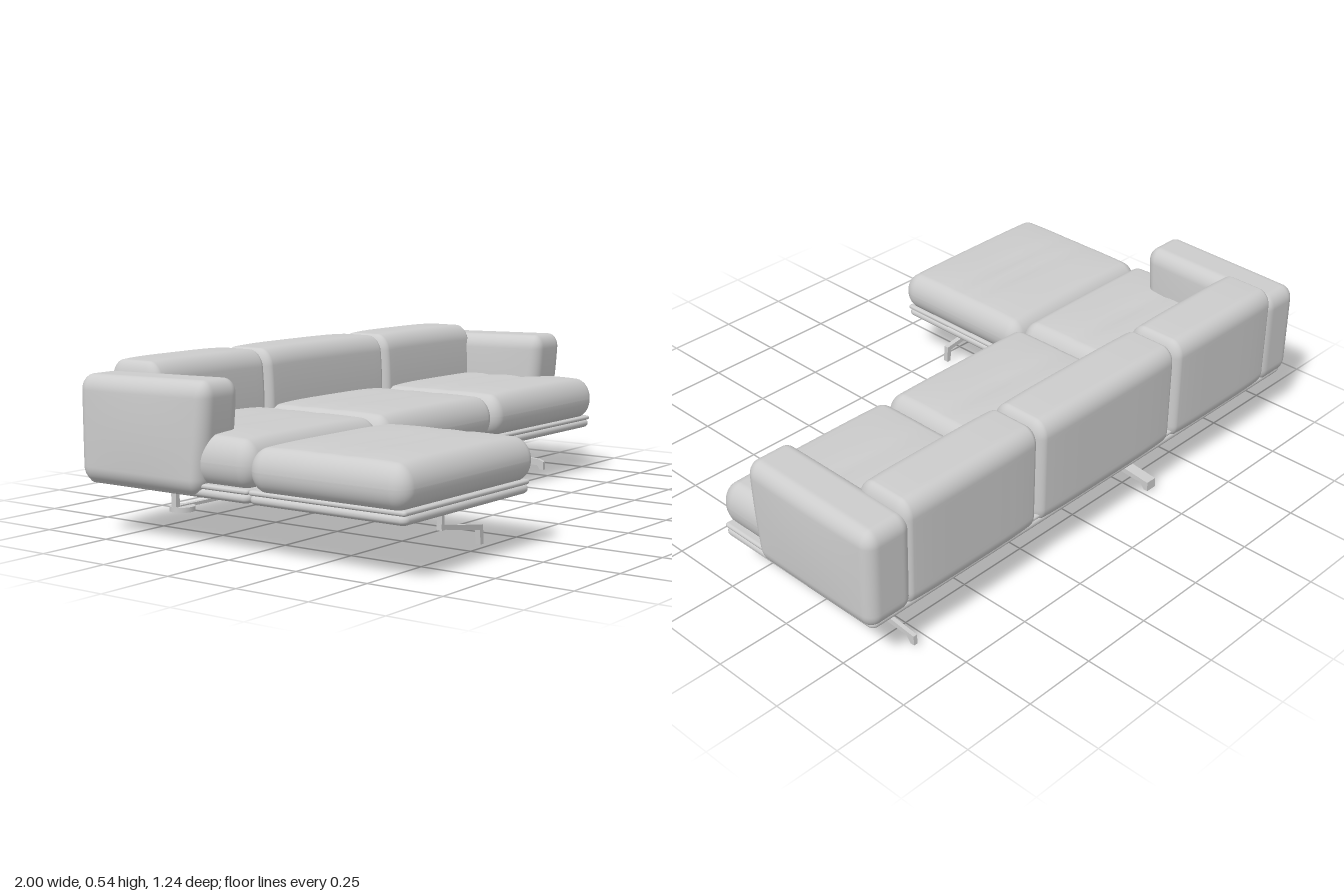
import * as THREE from 'three';
import { mergeVertices } from 'three/addons/utils/BufferGeometryUtils.js';

const upholstery = new THREE.MeshStandardMaterial({ color: 0xcccccc });
upholstery.name = 'light grey';

// Soft box filling [x0,x1] x [y0,y1] x [z0,z1], with elliptical edge radii and an optional shaping rule.
// The rule receives the point and its position (-1..1) along each axis.
function softBox(name, [x0, x1], [y0, y1], [z0, z1], radii, rule) {
  const half = [(x1 - x0) / 2, (y1 - y0) / 2, (z1 - z0) / 2];
  const mid = [(x0 + x1) / 2, (y0 + y1) / 2, (z0 + z1) / 2];
  const n = 28, edge = 6;
  let geo = new THREE.BoxGeometry(2, 2, 2, n, n, n);
  geo.deleteAttribute('uv');
  geo.deleteAttribute('normal');
  geo = mergeVertices(geo);
  const pos = geo.attributes.position;
  const p = new THREE.Vector3(), t = new THREE.Vector3(), o = new THREE.Vector3();
  for (let i = 0; i < pos.count; i++) {
    const inner = [];
    for (let a = 0; a < 3; a++) {
      // spend the outer rows on the rounded edge, the rest on the flat middle
      const k = Math.round((pos.getComponent(i, a) + 1) / 2 * n) - n / 2;
      const flat = n / 2 - edge, s = Math.sign(k), m = Math.abs(k);
      const core = half[a] - radii[a];
      inner[a] = s * core * Math.min(m / flat, 1);
      o.setComponent(a, m > flat ? s * Math.tan((m - flat) / edge * Math.PI / 4) : 0);
    }
    const big = Math.max(Math.abs(o.x), Math.abs(o.y), Math.abs(o.z));
    if (big > 0) o.normalize();
    for (let a = 0; a < 3; a++) {
      const v = inner[a] + o.getComponent(a) * radii[a];
      t.setComponent(a, v / half[a]);
      p.setComponent(a, mid[a] + v);
    }
    if (rule) rule(p, t);
    pos.setXYZ(i, p.x, p.y, p.z);
  }
  geo.computeVertexNormals();
  const mesh = new THREE.Mesh(geo, upholstery);
  mesh.name = name;
  return mesh;
}

// Plump seat top with shallow cross creases
const seatRule = (creases) => (p, t) => {
  if (t.y <= 0) return;
  const fall = (1 - t.x ** 4) * (1 - t.z ** 4);
  p.y += 0.014 * t.y * fall;
  for (const z of creases) {
    const wave = z + 0.008 * Math.sin(p.x * 9);
    p.y -= 0.007 * t.y * (1 - t.x * t.x) * Math.exp(-(((p.z - wave) / 0.02) ** 2));
  }
};

// Back cushion: front bellies out and leans, top is gently crowned
const backRule = (p, t) => {
  p.z += 0.012 * Math.max(t.z, 0) * (1 - t.y * t.y);
  p.z -= 0.008 * Math.max(-t.z, 0) * (1 - t.x ** 4);
  p.y += 0.006 * Math.max(t.y, 0) * (1 - t.x ** 4);
};

// Arm: front edge tucks in towards the base, sides swell slightly
const armRule = (p, t) => {
  if (t.z > 0) p.z -= 0.04 * t.z * ((1 - t.y) / 2) ** 1.5;
  p.y += 0.005 * t.z * Math.max(t.y, 0);
  p.x += 0.008 * t.x * (1 - t.y * t.y) * (1 - t.z * t.z);
};

// Flat bar with the given thickness profile, extruded across its width
function bar(name, points, width) {
  const shape = new THREE.Shape(points.map(([a, b]) => new THREE.Vector2(a, b)));
  const geo = new THREE.ExtrudeGeometry(shape, { depth: width, bevelEnabled: false });
  geo.translate(0, 0, -width / 2);
  const mesh = new THREE.Mesh(geo, upholstery);
  mesh.name = name;
  return mesh;
}

function block(name, w, h, d, x, y, z) {
  const mesh = new THREE.Mesh(new THREE.BoxGeometry(w, h, d), upholstery);
  mesh.name = name;
  mesh.position.set(x, y, z);
  return mesh;
}

function disc(name, r, h, x, y, z) {
  const mesh = new THREE.Mesh(new THREE.CylinderGeometry(r, r, h, 20), upholstery);
  mesh.name = name;
  mesh.position.set(x, y, z);
  return mesh;
}

// Thin rectangular mounting frame under the base
function mountFrame(x, z, w, d) {
  const g = new THREE.Group();
  g.name = 'mountingFrame';
  for (const s of [-1, 1]) {
    g.add(block('frameSide', 0.008, 0.01, d, x + s * w / 2, 0.156, z));
    g.add(block('frameEnd', w, 0.01, 0.008, x, 0.156, z + s * d / 2));
  }
  return g;
}

// Long sled foot with a hub and an angled support arm, running front to back
function sledFoot(x, width) {
  const g = new THREE.Group();
  g.name = 'sledFoot';
  const foot = bar('footBar', [[-0.05, 0.01], [-0.065, 0.01], [-0.075, 0.025], [-0.32, 0.04], [-0.42, 0.04],
    [-0.57, 0.03], [-0.585, 0.01], [-0.6, 0.01], [-0.598, 0.042], [-0.42, 0.062], [-0.32, 0.066], [-0.07, 0.048], [-0.05, 0.04]], width);
  const arm = bar('supportArm', [[-0.09, 0.16], [-0.16, 0.16], [-0.35, 0.122], [-0.44, 0.112], [-0.44, 0.094],
    [-0.33, 0.1], [-0.17, 0.135], [-0.09, 0.148]], width);
  const strut = bar('rearStrut', [[-0.36, 0.118], [-0.45, 0.152], [-0.45, 0.162], [-0.42, 0.162], [-0.35, 0.13]], width);
  const sled = new THREE.Group();
  sled.name = 'sled';
  sled.add(foot, arm, strut);
  sled.rotation.y = -Math.PI / 2;
  g.add(sled, block('hub', width, 0.05, 0.07, 0, 0.08, -0.37));
  g.position.x = x;
  return g;
}

export function createModel() {
  const model = new THREE.Group();
  model.name = 'cornerSofa';

  // Base platforms with a thin piping line on top
  const spans = [['mainBase', [-0.97, 0.975], [-0.605, 0.046]], ['chaiseBase', [-0.97, -0.34], [0.048, 0.605]]];
  for (const [name, xs, zs] of spans) {
    model.add(softBox(name, xs, [0.16, 0.192], zs, [0.022, 0.015, 0.022]));
    model.add(softBox(name + 'Piping', xs, [0.188, 0.204], zs, [0.01, 0.007, 0.01]));
  }

  // Seat cushions
  const seatRadii = [0.05, 0.07, 0.055];
  const seats = [[-0.98, -0.345], [-0.345, 0.296], [0.296, 0.975]];
  seats.forEach((xs, i) => model.add(
    softBox('seatCushion' + (i + 1), xs, [0.2, 0.342], [-0.5, 0.066], seatRadii, seatRule([-0.3, -0.17]))));
  model.add(softBox('chaiseCushion', [-0.995, -0.325], [0.198, 0.328], [0.058, 0.62], [0.05, 0.064, 0.055],
    seatRule([0.3, 0.39])));

  // Back cushions
  const backs = [[-0.86, -0.345], [-0.345, 0.296], [0.296, 0.85]];
  backs.forEach((xs, i) => model.add(
    softBox('backCushion' + (i + 1), xs, [0.165, 0.53], [-0.613, -0.417], [0.03, 0.055, 0.045], backRule)));

  // Arms
  model.add(softBox('rightArm', [-0.993, -0.832], [0.165, 0.503], [-0.615, -0.09], [0.04, 0.05, 0.04], armRule));
  model.add(softBox('leftArm', [0.82, 0.99], [0.165, 0.503], [-0.615, -0.09], [0.04, 0.05, 0.04], armRule));

  // Sled feet under the left end and the middle
  model.add(sledFoot(0.805, 0.014), sledFoot(-0.278, 0.04));
  model.add(mountFrame(0.8, -0.27, 0.16, 0.3), mountFrame(-0.28, -0.27, 0.16, 0.3));

  // Cross bar linking the middle foot to the far end
  model.add(block('crossBar', 0.6, 0.01, 0.016, -0.55, 0.092, -0.35));
  model.add(block('endPost', 0.016, 0.07, 0.02, -0.85, 0.125, -0.35));
  model.add(block('middlePost', 0.014, 0.07, 0.03, -0.253, 0.125, -0.35));
  model.add(disc('endHub', 0.04, 0.016, -0.82, 0.085, -0.35));

  // Chaise leg: post with a foot reaching sideways
  const leg = new THREE.Group();
  leg.name = 'chaiseLeg';
  leg.add(block('legPost', 0.014, 0.09, 0.016, -0.6, 0.12, 0.463));
  leg.add(bar('legFoot', [[-0.61, 0.095], [-0.61, 0.08], [-0.5, 0.06], [-0.41, 0.045], [-0.405, 0.0], [-0.39, 0.0],
    [-0.392, 0.06], [-0.5, 0.076]], 0.018));
  leg.children[1].position.z = 0.463;
  leg.add(block('legPlate', 0.22, 0.008, 0.03, -0.6, 0.157, 0.463));
  leg.add(block('sidePlate', 0.18, 0.006, 0.03, -0.84, 0.158, 0.463));
  model.add(leg);

  return model;
}
